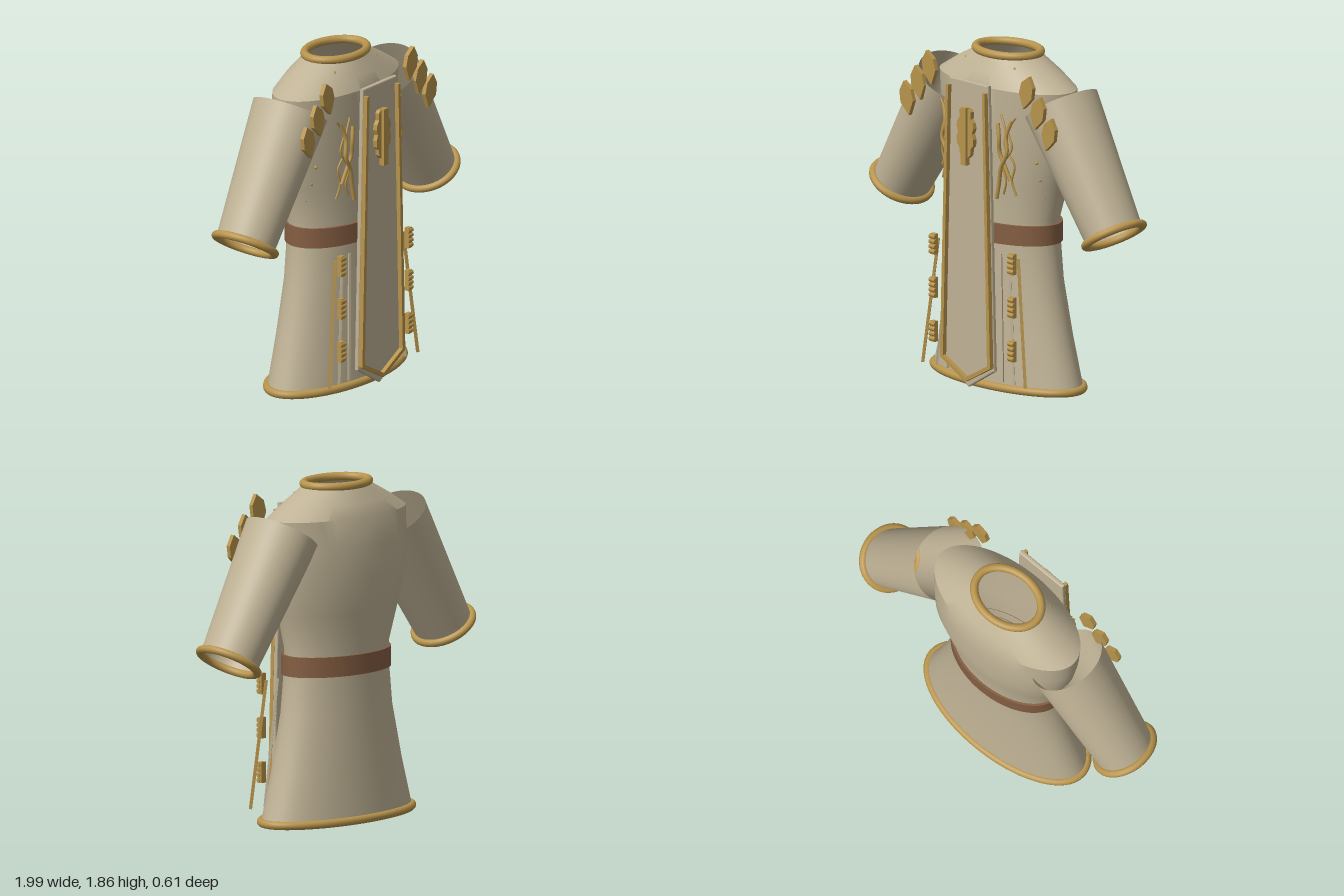
import * as THREE from 'three';
import { toCreasedNormals } from 'three/addons/utils/BufferGeometryUtils.js';

const V = (x, y, z) => new THREE.Vector3(x, y, z);
const mat = (name, color, double) => {
  const m = new THREE.MeshStandardMaterial({ color });
  m.name = name;
  if (double) m.side = THREE.DoubleSide;
  return m;
};

export function createModel() {
  const root = new THREE.Group();
  root.name = 'tunic';
  const cloth = mat('beige cloth', 0xbfb295, true);
  const gold = mat('gold trim', 0xb8944c);
  const leather = mat('brown leather', 0x855e42, true);

  const add = (name, geo, material, parent = root) => {
    const mesh = new THREE.Mesh(geo, material);
    mesh.name = name;
    parent.add(mesh);
    return mesh;
  };

  // Elliptical cross-sections [y, half width, front z, back z] joined into an open shell
  const loft = (sections, n = 64) => {
    const pos = [], idx = [];
    sections.forEach(([y, hx, zf, zb], r) => {
      for (let i = 0; i < n; i++) {
        const a = (i / n) * Math.PI * 2;
        pos.push(hx * Math.sin(a), y, (zf + zb) / 2 + ((zf - zb) / 2) * Math.cos(a));
        if (r === sections.length - 1) continue;
        const p = r * n + i, q = r * n + ((i + 1) % n);
        idx.push(p, q, p + n, q, q + n, p + n);
      }
    });
    const g = new THREE.BufferGeometry();
    g.setAttribute('position', new THREE.Float32BufferAttribute(pos, 3));
    g.setIndex(idx);
    g.computeVertexNormals();
    return toCreasedNormals(g, 0.5);
  };

  // Elliptical horizontal ring
  const ring = (rx, rz, tube) => {
    const pts = [];
    for (let i = 0; i < 32; i++) {
      const a = (i / 32) * Math.PI * 2;
      pts.push(V(rx * Math.cos(a), 0, rz * Math.sin(a)));
    }
    return new THREE.TubeGeometry(new THREE.CatmullRomCurve3(pts, true), 96, tube, 12, true);
  };

  const plate = (points, depth, bevel = 0, hole) => {
    const shape = new THREE.Shape(points.map(([x, y]) => new THREE.Vector2(x, y)));
    return new THREE.ExtrudeGeometry(shape, {
      depth, bevelEnabled: bevel > 0, bevelSize: bevel, bevelThickness: bevel, bevelSegments: 2,
    });
  };

  // Straight bar between two points
  const bar = (name, a, b, w, d, material) => {
    const mesh = add(name, new THREE.BoxGeometry(w, a.distanceTo(b), d), material);
    mesh.position.copy(a).add(b).multiplyScalar(0.5);
    mesh.quaternion.setFromUnitVectors(V(0, 1, 0), b.clone().sub(a).normalize());
    return mesh;
  };

  // Body, from hem to neck
  add('body', loft([
    [0.025, 0.53, 0.21, -0.278], [0.3, 0.45, 0.193, -0.26], [0.6, 0.378, 0.178, -0.242],
    [0.8, 0.355, 0.173, -0.238], [0.95, 0.347, 0.173, -0.24], [1.15, 0.405, 0.185, -0.268],
    [1.35, 0.455, 0.195, -0.296], [1.52, 0.475, 0.202, -0.285], [1.68, 0.48, 0.205, -0.272],
    [1.75, 0.365, 0.17, -0.24], [1.835, 0.205, 0.118, -0.182],
  ]), cloth);
  add('belt', loft([
    [0.815, 0.35, 0.17, -0.235], [0.815, 0.363, 0.19, -0.252],
    [0.925, 0.363, 0.19, -0.252], [0.925, 0.345, 0.17, -0.235],
  ]), leather);
  add('neckRing', ring(0.203, 0.148, 0.023), gold).position.set(0, 1.842, -0.032);
  add('hemRing', ring(0.531, 0.244, 0.023), gold).position.set(0, 0.024, -0.034);
  add('buckle', new THREE.BoxGeometry(0.15, 0.13, 0.03), gold).position.set(0, 0.87, 0.21);

  // Hanging front panel with trim
  add('frontPanel', plate([
    [-0.148, 1.705], [-0.195, 0.13], [0, 0.015], [0.195, 0.13], [0.148, 1.705],
  ], 0.012, 0.007), cloth).position.z = 0.246;
  add('panelTrim', plate([
    [-0.153, 1.672], [-0.198, 0.145], [0, 0.04], [0.198, 0.145], [0.153, 1.672], [0.133, 1.672],
    [0.174, 0.156], [0, 0.064], [-0.174, 0.156], [-0.133, 1.672],
  ], 0.025), gold).position.z = 0.265;

  // Scalloped ornament with a raised spine
  const half = [[0.03, 1.565], [0.045, 1.55], [0.043, 1.51], [0.06, 1.49], [0.066, 1.46],
    [0.054, 1.43], [0.066, 1.4], [0.062, 1.36], [0.045, 1.345], [0.042, 1.31], [0.022, 1.29]];
  const outline = [...half, ...half.map(([x, y]) => [-x, y]).reverse()].reverse();
  add('ornament', plate(outline, 0.025), gold).position.z = 0.265;
  add('ornamentSpine', new THREE.BoxGeometry(0.04, 0.32, 0.03), gold).position.set(0, 1.41, 0.29);

  const leaf = plate([
    [0, 0.095], [-0.045, 0.045], [-0.05, -0.02], [0, -0.095], [0.05, -0.02], [0.045, 0.045],
  ], 0.024);

  for (const s of [1, -1]) {
    const side = s > 0 ? 'left' : 'right';

    // Sleeve, open at both ends, with cuff
    const sleeve = new THREE.Group();
    sleeve.name = side + 'Sleeve';
    sleeve.position.set(s * 0.629, 1.283, -0.03);
    sleeve.rotation.z = s * 0.565;
    sleeve.scale.z = 1.07;
    root.add(sleeve);
    add(side + 'SleeveTube', new THREE.CylinderGeometry(0.2, 0.155, 0.776, 48, 1, true), cloth, sleeve);
    add(side + 'Cuff', ring(0.16, 0.16, 0.022), gold, sleeve).position.y = -0.388;

    // Shoulder leaves
    [[0.383, 1.705], [0.472, 1.605], [0.56, 1.503]].forEach(([x, y], i) => {
      const m = add(side + 'ShoulderLeaf' + (i + 1), leaf, gold);
      m.position.set(s * x, y, 0.176);
      m.rotation.z = -s * 0.22;
    });

    // Skirt stripes: one gold, two of cloth
    bar(side + 'GoldStripe', V(s * 0.315, 0.765, 0.19), V(s * 0.405, 0.065, 0.222), 0.016, 0.016, gold);
    bar(side + 'MiddleStripe', V(s * 0.235, 0.765, 0.18), V(s * 0.305, 0.065, 0.212), 0.013, 0.013, cloth);
    bar(side + 'InnerStripe', V(s * 0.165, 0.765, 0.18), V(s * 0.218, 0.065, 0.215), 0.013, 0.013, cloth);

    // Ridged clasps
    for (const y of [0.742, 0.5, 0.255]) {
      const clasp = new THREE.Group();
      clasp.name = side + 'Clasp';
      clasp.position.set(s * 0.31, y, 0.228);
      root.add(clasp);
      add('claspCore', new THREE.BoxGeometry(0.034, 0.115, 0.026), gold, clasp);
      for (let i = 0; i < 4; i++) {
        const ridge = add('claspRidge', new THREE.CylinderGeometry(0.013, 0.013, 0.044, 10), gold, clasp);
        ridge.rotation.z = Math.PI / 2;
        ridge.position.set(0, -0.042 + i * 0.028, 0.008);
      }
    }

    // Interlaced cords on the chest: two thick, two thin
    const cord = (name, r, points) => add(name, new THREE.TubeGeometry(
      new THREE.CatmullRomCurve3(points.map(([x, y, z]) => V(s * x, y, z))), 40, r, 8), gold);
    cord(side + 'CordA', 0.011, [[0.27, 1.53, 0.195], [0.24, 1.44, 0.21], [0.255, 1.35, 0.22],
      [0.21, 1.26, 0.22], [0.185, 1.17, 0.21], [0.165, 1.08, 0.21]]);
    cord(side + 'CordB', 0.011, [[0.175, 1.5, 0.21], [0.195, 1.42, 0.22], [0.19, 1.34, 0.21],
      [0.23, 1.26, 0.205], [0.265, 1.19, 0.2]]);
    cord(side + 'ThinCordA', 0.006, [[0.295, 1.55, 0.19], [0.245, 1.47, 0.2], [0.275, 1.38, 0.2],
      [0.215, 1.27, 0.21], [0.235, 1.19, 0.205], [0.21, 1.11, 0.2]]);
    cord(side + 'ThinCordB', 0.006, [[0.19, 1.55, 0.2], [0.235, 1.47, 0.21], [0.225, 1.38, 0.205],
      [0.285, 1.28, 0.19], [0.265, 1.19, 0.19], [0.29, 1.11, 0.18]]);

    // Small studs
    for (const [x, y, z] of [[0.357, 1.5, 0.118], [0.357, 1.29, 0.094], [0.357, 1.19, 0.065],
      [0.357, 1.09, 0.03], [0.19, 1.785, 0.098]]) {
      add(side + 'Stud', new THREE.SphereGeometry(0.01, 12, 8), gold).position.set(s * x, y, z);
    }
  }
  return root;
}
